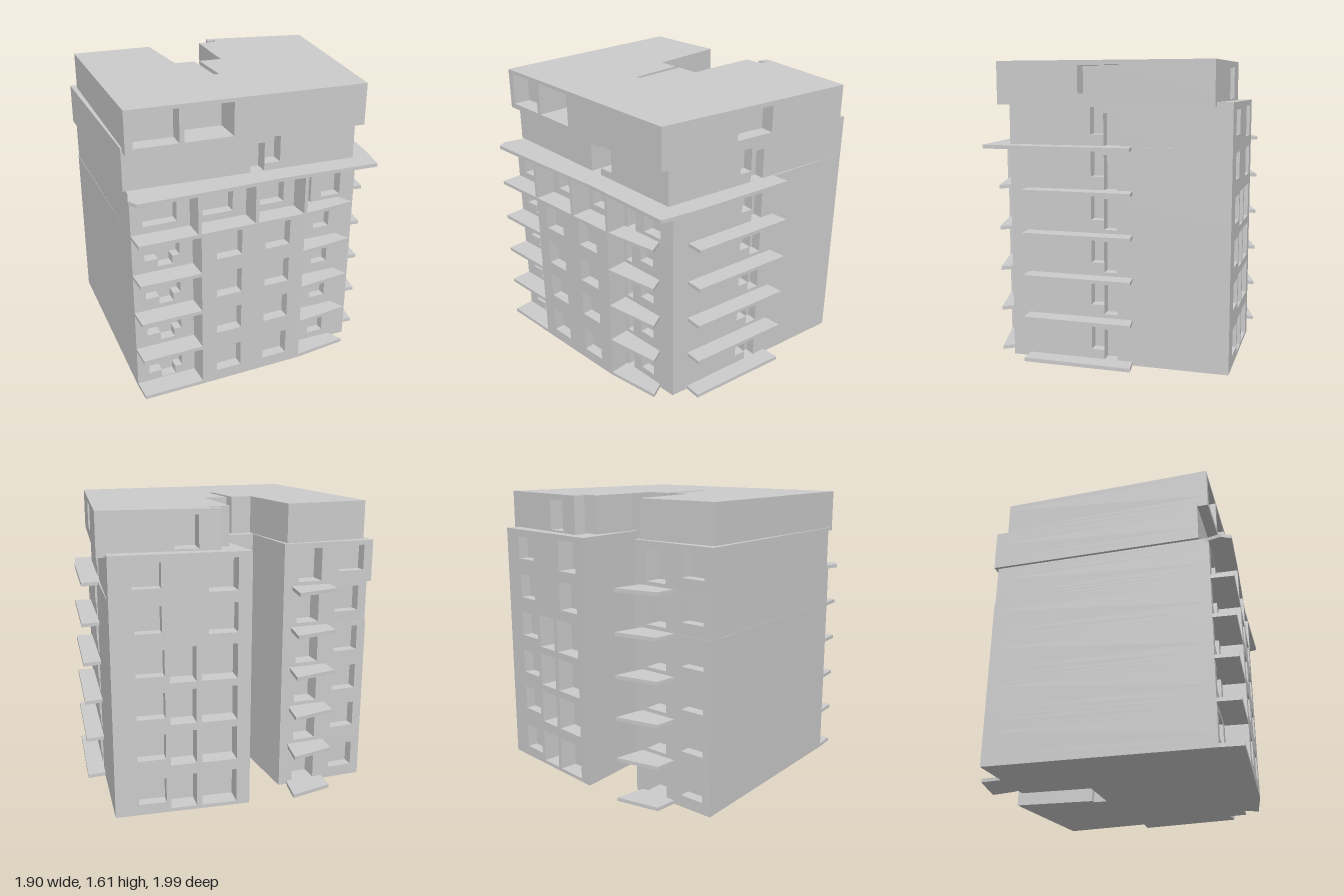
import * as THREE from 'three';

const grey = new THREE.MeshStandardMaterial({ color: 0xcccccc, flatShading: true });

// Upright prism over a plan of [x, z] points, from y0 to y1
function prism(name, plan, y0, y1) {
  const shape = new THREE.Shape(plan.map(([x, z]) => new THREE.Vector2(x, -z)));
  const geo = new THREE.ExtrudeGeometry(shape, { depth: y1 - y0, bevelEnabled: false });
  geo.rotateX(-Math.PI / 2).translate(0, y0, 0);
  const mesh = new THREE.Mesh(geo, grey);
  mesh.name = name;
  return mesh;
}

// Plan with rectangular niches { edge, t0, t1, depth } cut inwards from its edges
function notched(plan, niches) {
  const out = [];
  plan.forEach((a, i) => {
    const b = plan[(i + 1) % plan.length];
    const dx = b[0] - a[0], dz = b[1] - a[1], len = Math.hypot(dx, dz);
    const at = (t, d) => [a[0] + dx * t + (dz / len) * d, a[1] + dz * t - (dx / len) * d];
    out.push(a);
    niches.filter(n => n.edge === i).sort((p, q) => p.t0 - q.t0)
      .forEach(n => out.push(at(n.t0, 0), at(n.t0, n.depth), at(n.t1, n.depth), at(n.t1, 0)));
  });
  return out;
}

// Storey split into horizontal bands, so that each opening has its own sill and head
function storey(name, plan, y0, y1, openings) {
  const group = new THREE.Group();
  group.name = name;
  const list = openings.map(([edge, t0, t1, depth, lo, hi]) =>
    ({ edge, t0, t1, depth, lo: y0 + lo, hi: y0 + hi }));
  const ys = [y0, y1, ...list.flatMap(o => [o.lo, o.hi])].sort((a, b) => a - b);
  for (let i = 0; i < ys.length - 1; i++) {
    if (ys[i + 1] - ys[i] < 1e-4) continue;
    const mid = (ys[i] + ys[i + 1]) / 2;
    const cut = list.filter(o => o.lo < mid && o.hi > mid);
    group.add(prism('wallBand', notched(plan, cut), ys[i], ys[i + 1]));
  }
  return group;
}

export function createModel() {
  const model = new THREE.Group();
  model.name = 'apartmentBlock';

  // Courtyard slot cut into the left rear side
  const court = [[-0.55, -0.49], [-0.18, -0.22], [-0.16, -0.24], [-0.10, -0.19], [-0.28, 0.03], [-0.60, -0.22]];

  // Four lower storeys, with two loggias on the front right side
  const lowerPlan = [[0.02, 0.92], [0.22, 0.648], [0.32, 0.72], [0.68, 0.23], [0.58, 0.16],
    [0.81, -0.14], [-0.02, -1.0], ...court, [-0.93, 0.17]];
  const lowerOpenings = [
    [0, 0.2, 0.78, 0.06, 0.07, 0.21], [0, 0.42, 0.66, 0.06, 0.025, 0.07],
    [2, 0.14, 0.38, 0.06, 0.065, 0.215], [2, 0.61, 0.85, 0.06, 0.065, 0.215],
    [4, 0.04, 0.16, 0.05, 0.02, 0.2], [4, 0.34, 0.6, 0.05, 0.06, 0.2],
    [5, 0.38, 0.44, 0.06, 0.07, 0.21], [5, 0.44, 0.5, 0.06, 0.02, 0.185],
    [6, 0.17, 0.375, 0.06, 0.06, 0.2], [6, 0.41, 0.6, 0.1, 0.02, 0.21], [6, 0.64, 0.9, 0.1, 0.02, 0.21],
    [12, 0.16, 0.42, 0.1, 0.02, 0.2], [12, 0.62, 0.9, 0.06, 0.065, 0.205],
  ];
  const levels = [0, 0.25, 0.48, 0.71, 0.94];
  for (let i = 0; i < 4; i++) {
    model.add(storey('lowerStorey', lowerPlan, levels[i], levels[i + 1], lowerOpenings));
  }

  // Balcony and loggia slabs
  const frontSlab = [[0.02, 0.92], [0.12, 0.99], [0.32, 0.72], [0.68, 0.23], [0.84, -0.04], [0.74, -0.06]];
  const rearSlab = [[0.73, -0.2], [0.81, -0.28], [0.40, -0.71], [0.33, -0.62]];
  const leftSlab = [[-0.62, -0.16], [-0.65, -0.21], [-0.74, -0.32], [-0.86, -0.10], [-0.77, -0.01]];
  levels.forEach(y => {
    const top = Math.max(y, 0.02);
    model.add(prism('frontBalconySlab', frontSlab, top - 0.02, top));
    model.add(prism('rearBalconySlab', rearSlab, top - 0.02, top));
    model.add(prism('leftBalconySlab', leftSlab, top - 0.02, top));
  });
  model.add(prism('leftBalconySlab', leftSlab, 1.15, 1.17));

  // Set-back fifth storey behind a terrace
  const terracePlan = [[0.02, 0.92], [0.81, -0.14], [-0.02, -1.0], ...court, [-0.925, 0.17]];
  model.add(storey('terraceStorey', terracePlan, 0.94, 1.17, [
    [0, 0.05, 0.19, 0.06, 0.04, 0.2], [0, 0.3, 0.43, 0.06, 0.04, 0.19],
    [0, 0.53, 0.66, 0.06, 0.04, 0.19], [0, 0.74, 0.79, 0.06, 0.0, 0.16], [0, 0.84, 0.93, 0.06, 0.02, 0.16],
    [1, 0.38, 0.44, 0.06, 0.07, 0.21], [1, 0.44, 0.5, 0.06, 0.0, 0.185],
    [2, 0.17, 0.36, 0.06, 0.06, 0.2], [2, 0.69, 0.9, 0.08, 0.04, 0.2],
    [8, 0.16, 0.42, 0.1, 0.02, 0.2], [8, 0.62, 0.9, 0.06, 0.065, 0.205],
  ]));

  // Terrace partitions
  for (const t of [0.245, 0.49, 0.71]) {
    const p = [0.02 + 0.79 * t, 0.92 - 1.06 * t];
    model.add(prism('terracePartition', [p, [p[0] + 0.095, p[1] + 0.071],
      [p[0] + 0.107, p[1] + 0.055], [p[0] + 0.012, p[1] - 0.016]], 0.94, 1.15));
  }

  // Canopy slab above the terrace
  model.add(prism('canopySlab', [[0.0, 0.9], [0.06, 0.98], [0.12, 0.99], [0.32, 0.72], [0.60, 0.33],
    [0.95, -0.10], [0.80, -0.28], [0.40, -0.70], [0.32, -0.6]], 1.15, 1.17));

  // Sixth storey
  const sixthPlan = [[-0.03, 0.90], [0.80, -0.115], [-0.02, -1.0], ...court, [-0.95, 0.17]];
  model.add(storey('sixthStorey', sixthPlan, 1.17, 1.40, [
    [0, 0.53, 0.59, 0.08, 0.0, 0.16], [0, 0.59, 0.66, 0.08, 0.04, 0.195],
    [1, 0.38, 0.44, 0.06, 0.06, 0.2], [1, 0.44, 0.51, 0.06, 0.0, 0.17],
    [2, 0.16, 0.36, 0.06, 0.06, 0.19], [2, 0.69, 0.9, 0.1, 0.03, 0.2],
    [8, 0.16, 0.42, 0.1, 0.02, 0.2], [8, 0.62, 0.9, 0.06, 0.065, 0.205],
  ]));

  // Top storey with the slit running in from the courtyard
  const topPlan = [[0.02, 0.93], [0.86, -0.09], [0.07, -0.97], [-0.40, -0.55], [-0.36, -0.50], [-0.34, -0.56],
    [-0.31, -0.51], [-0.38, -0.43], [-0.18, -0.25], [-0.06, -0.15],
    [-0.147, -0.045], [0.09, 0.14], [0.075, 0.165], [-0.166, -0.02],
    [-0.24, 0.07], [-0.60, -0.19], [-0.89, 0.18]];
  model.add(storey('topStorey', topPlan, 1.38, 1.61, [
    [0, 0.03, 0.21, 0.1, 0.03, 0.21], [0, 0.23, 0.43, 0.18, 0.03, 0.21],
    [1, 0.39, 0.58, 0.08, 0.06, 0.205],
    [2, 0.62, 0.82, 0.12, 0.03, 0.2],
  ]));

  return model;
}
